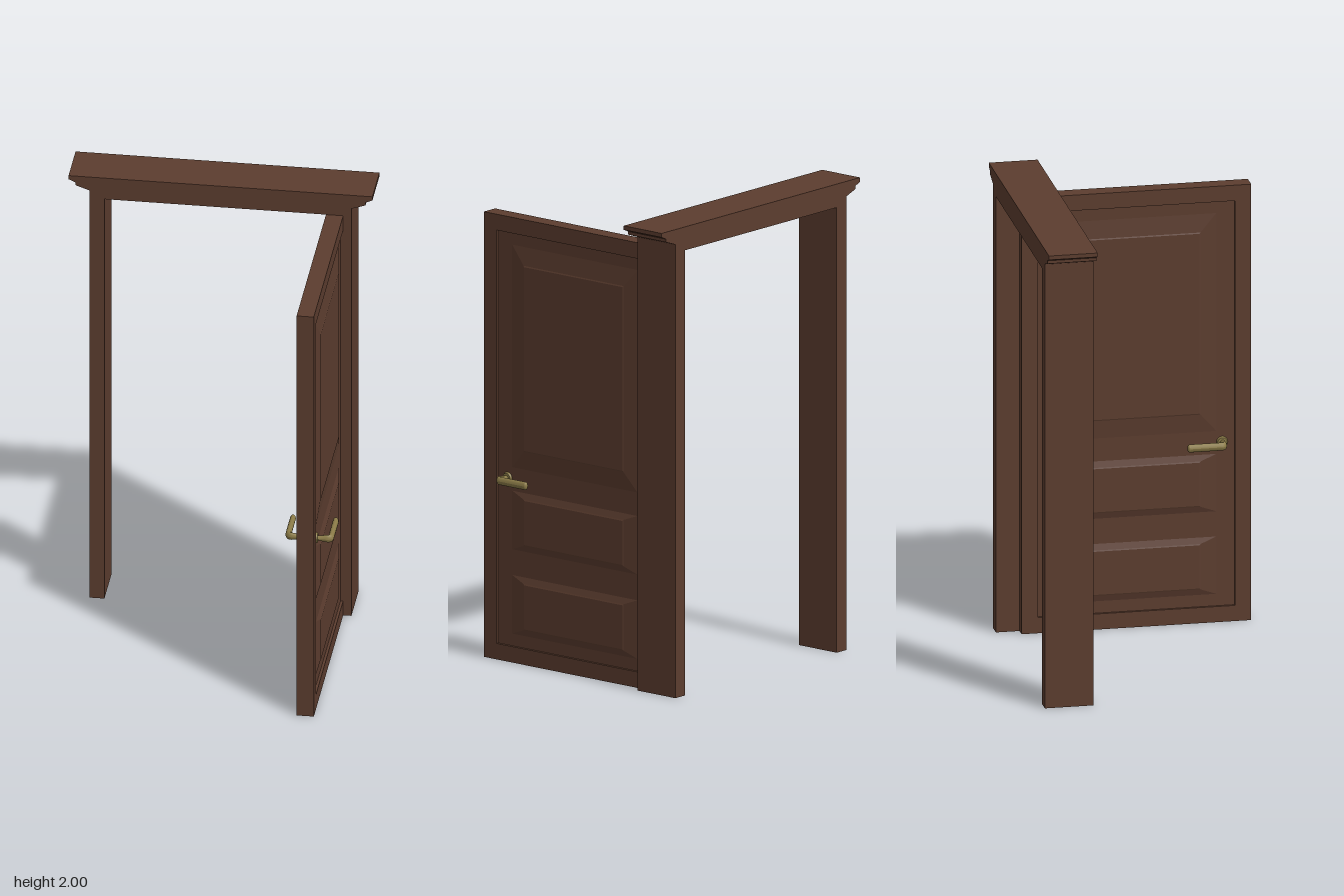
import * as THREE from 'three';

const wood = new THREE.MeshStandardMaterial({ color: 0x5c3d2f });
const brass = new THREE.MeshStandardMaterial({ color: 0x8c7c48 });

function add(parent, name, geometry, material, x = 0, y = 0, z = 0) {
  const mesh = new THREE.Mesh(geometry, material);
  mesh.name = name;
  mesh.position.set(x, y, z);
  parent.add(mesh);
  return mesh;
}

// Raised panel: stacked rectangles [halfWidth, halfHeight, depth], facing +z, capped at the last one.
function panelGeometry(rings) {
  const pos = [], index = [];
  for (const [w, h, d] of rings) pos.push(-w, -h, d, w, -h, d, w, h, d, -w, h, d);
  for (let r = 0; r < rings.length - 1; r++) {
    for (let i = 0; i < 4; i++) {
      const a = r * 4 + i, b = r * 4 + (i + 1) % 4;
      index.push(a, b, b + 4, a, b + 4, a + 4);
    }
  }
  const t = (rings.length - 1) * 4;
  index.push(t, t + 1, t + 2, t, t + 2, t + 3);
  const geometry = new THREE.BufferGeometry();
  geometry.setAttribute('position', new THREE.Float32BufferAttribute(pos, 3));
  geometry.setIndex(index);
  const flat = geometry.toNonIndexed();
  flat.computeVertexNormals();
  return flat;
}

// Lever handle pointing out along +x, its grip running towards -z.
function makeHandle() {
  const handle = new THREE.Group();
  const rosette = add(handle, 'rosette', new THREE.CylinderGeometry(0.02, 0.024, 0.008, 24), brass, 0.003);
  rosette.rotation.z = -Math.PI / 2;

  const path = new THREE.CurvePath();
  const v = (x, z) => new THREE.Vector3(x, 0, z);
  path.add(new THREE.LineCurve3(v(0, 0), v(0.04, 0)));
  path.add(new THREE.QuadraticBezierCurve3(v(0.04, 0), v(0.054, 0), v(0.054, -0.016)));
  path.add(new THREE.LineCurve3(v(0.054, -0.016), v(0.054, -0.15)));
  const lever = new THREE.TubeGeometry(path, 48, 0.0105, 12);
  // The neck is round; it swells in height towards the flat grip.
  const p = lever.attributes.position;
  for (let i = 0; i < p.count; i++) {
    p.setY(i, p.getY(i) * (1 + 0.65 * THREE.MathUtils.smoothstep(p.getX(i), 0.005, 0.05)));
  }
  lever.computeVertexNormals();
  add(handle, 'lever', lever, brass);

  const tip = add(handle, 'leverTip', new THREE.SphereGeometry(0.0105, 12, 10), brass, 0.054, 0, -0.15);
  tip.scale.set(1, 1.65, 0.9);
  return handle;
}

export function createModel() {
  const model = new THREE.Group();
  model.name = 'openDoor';

  // Frame: two posts and a stepped cornice lintel
  const frame = new THREE.Group();
  frame.name = 'frame';
  model.add(frame);
  const frameZ = -0.432, frameDepth = 0.206;
  for (const s of [-1, 1]) {
    add(frame, s > 0 ? 'leftPost' : 'rightPost',
      new THREE.BoxGeometry(0.062, 1.9, frameDepth), wood, s * 0.517, 0.95, frameZ);
  }
  const half = [[0.548, 1.9], [0.548, 1.936], [0.607, 1.957], [0.607, 1.97], [0.636, 1.983], [0.636, 2]];
  const profile = [...half, ...half.map(([x, y]) => [-x, y]).reverse()];
  add(frame, 'lintel', new THREE.ExtrudeGeometry(
    new THREE.Shape(profile.map(([x, y]) => new THREE.Vector2(x, y))),
    { depth: frameDepth, bevelEnabled: false }), wood, 0, 0, frameZ - frameDepth / 2);

  // Door leaf, swung open at a right angle to the frame
  const door = new THREE.Group();
  door.name = 'door';
  door.position.set(0.4775, 0, 0.05);
  model.add(door);
  const W = 0.97, H = 1.9, T = 0.072, rim = 0.068, core = 0.05;

  // Outer rim, standing slightly proud of the core
  const outline = new THREE.Shape([[-1, 0], [1, 0], [1, H], [-1, H]]
    .map(([s, y]) => new THREE.Vector2(s * W / 2, y)));
  outline.holes.push(new THREE.Path([[-1, rim], [-1, H - rim], [1, H - rim], [1, rim]]
    .map(([s, y]) => new THREE.Vector2(s * (W / 2 - rim), y))));
  const rimGeometry = new THREE.ExtrudeGeometry(outline, { depth: T, bevelEnabled: false });
  rimGeometry.translate(0, 0, -T / 2);
  rimGeometry.rotateY(Math.PI / 2);
  add(door, 'doorRim', rimGeometry, wood);
  add(door, 'doorCore', new THREE.BoxGeometry(core, H - 2 * rim, W - 2 * rim), wood, 0, H / 2);

  // Raised panels [name, bottom, top, vertical bevel] and a lever on both faces
  const panels = [['upperPanel', 0.83, 1.78, 0.078], ['middlePanel', 0.48, 0.73, 0.026], ['lowerPanel', 0.12, 0.37, 0.026]];
  for (const side of [1, -1]) {
    for (const [name, y0, y1, bevel] of panels) {
      const w = 0.34, h = (y1 - y0) / 2;
      const panel = add(door, name, panelGeometry([
        [w, h, core / 2],
        [w - 0.068, h - bevel, core / 2 + 0.008],
        [w - 0.073, h - bevel - 0.005, T / 2 - 0.001],
      ]), wood, 0, (y0 + y1) / 2);
      panel.rotation.y = side * Math.PI / 2;
    }
    const handle = makeHandle();
    handle.name = side > 0 ? 'leftHandle' : 'rightHandle';
    handle.position.set(side * core / 2, 0.782, 0.364);
    // The lever starts at the core, so stretch its neck to clear the rim
    handle.scale.set(side * 1.16, 1, 1);
    handle.position.x = side * 0.027;
    model.add(handle);
    door.add(handle);
  }
  return model;
}
